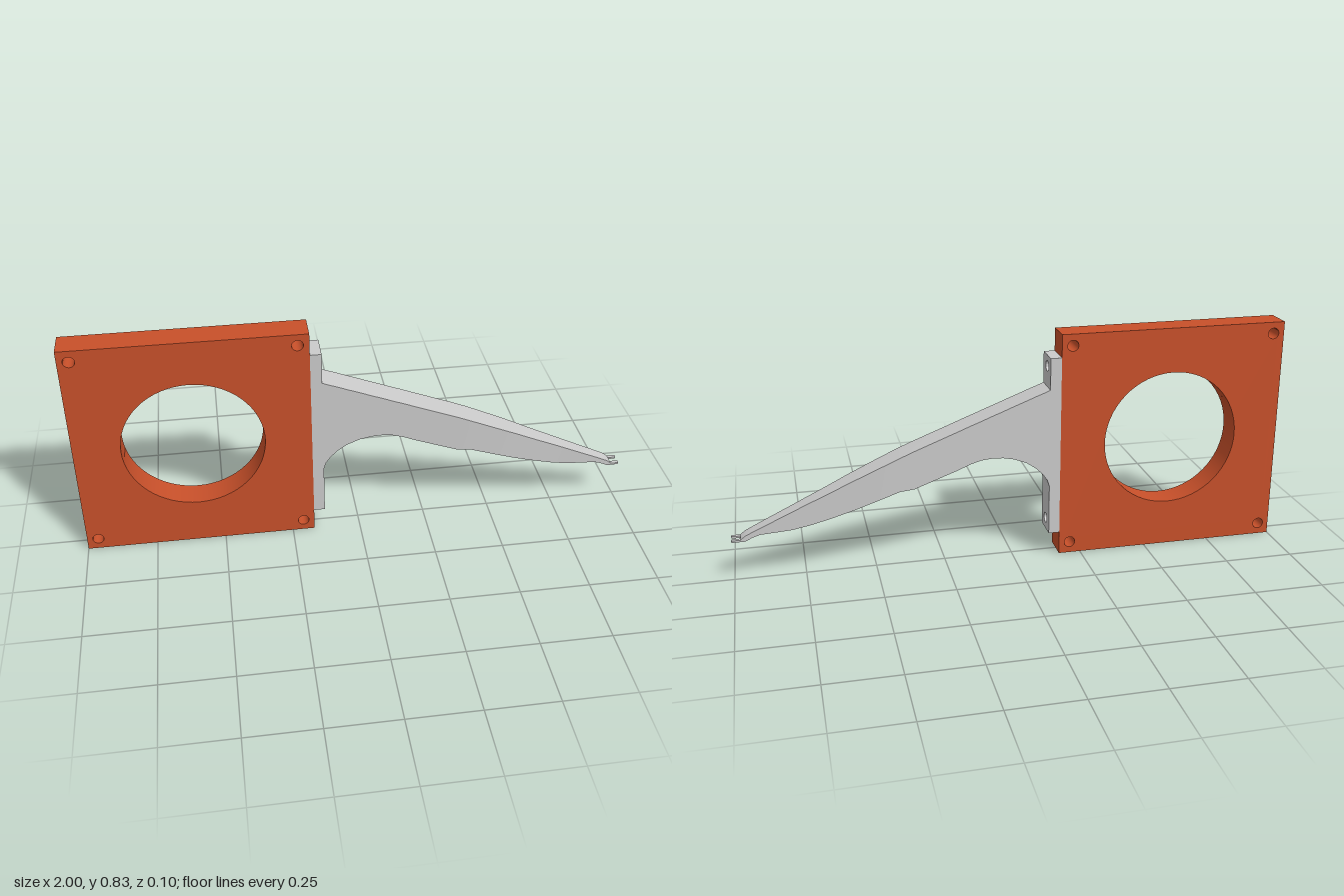
import * as THREE from 'three';
import { toCreasedNormals } from 'three/addons/utils/BufferGeometryUtils.js';

const grey = new THREE.MeshStandardMaterial({ color: 0xcccccc });
const orange = new THREE.MeshStandardMaterial({ color: 0xc8502a });
const orangeInside = new THREE.MeshStandardMaterial({ color: 0xc8502a, side: THREE.BackSide });

const HALF_DEPTH = 0.05;
const BOLT_Y = [0.127, 0.71];

function rectShape(x0, y0, x1, y1, holes = []) {
  const s = new THREE.Shape();
  s.moveTo(x0, y0).lineTo(x1, y0).lineTo(x1, y1).lineTo(x0, y1).closePath();
  for (const [x, y, r] of holes) s.holes.push(new THREE.Path().absarc(x, y, r, 0, Math.PI * 2, true));
  return s;
}

function add(parent, name, geometry, material) {
  const mesh = new THREE.Mesh(geometry, material);
  mesh.name = name;
  parent.add(mesh);
  return mesh;
}

// Square plate with a large bore, corner holes and two bolt holes running along x
function createPlate() {
  const plate = new THREE.Group();
  plate.name = 'plate';
  const x0 = -1, x1 = -0.17, h = 0.833, cx = (x0 + x1) / 2;
  const holes = [[cx, 0.42, 0.25]];
  for (const x of [-0.96, -0.21]) for (const y of [0.042, 0.791]) holes.push([x, y, 0.02]);

  // front and back faces, and the walls of the holes between them
  for (const turn of [0, Math.PI]) {
    const g = new THREE.ShapeGeometry(rectShape(x0 - cx, 0, x1 - cx, h, holes.map(([x, y, r]) => [x - cx, y, r])), 32);
    g.translate(0, 0, HALF_DEPTH).rotateY(turn).translate(cx, 0, 0);
    add(plate, turn ? 'plateBack' : 'plateFront', g, orange);
  }
  for (const [x, y, r] of holes) {
    const g = new THREE.CylinderGeometry(r, r, HALF_DEPTH * 2, 64, 1, true).rotateX(Math.PI / 2);
    add(plate, r > 0.1 ? 'boreWall' : 'cornerHoleWall', g.translate(x, y, 0), orangeInside);
  }

  // side faces with bolt holes
  const boltR = 0.012, w = x1 - x0;
  for (const side of [-1, 1]) {
    const g = new THREE.ShapeGeometry(
      rectShape(-HALF_DEPTH, 0, HALF_DEPTH, h, BOLT_Y.map(y => [0, y, boltR])), 16);
    g.translate(0, 0, w / 2).rotateY(side * Math.PI / 2).translate(cx, 0, 0);
    add(plate, 'plateSide', g, orange);
  }
  for (const y of BOLT_Y) {
    const g = new THREE.CylinderGeometry(boltR, boltR, w, 32, 1, true).rotateZ(Math.PI / 2);
    add(plate, 'boltHoleWall', g.translate(cx, y, 0), orangeInside);
  }

  // top and bottom faces
  for (const [y, turn] of [[h, -1], [0, 1]]) {
    const g = new THREE.PlaneGeometry(w, HALF_DEPTH * 2).rotateX(turn * Math.PI / 2);
    add(plate, y ? 'plateTop' : 'plateBottom', g.translate(cx, y, 0), orange);
  }
  return plate;
}

// Arm lofted through rectangular sections: x, top y, bottom y, half width
function createArmGeometry() {
  const sections = [
    [-0.13, 0.635, 0.272, 0.05], [-0.122, 0.632, 0.296, 0.05], [-0.105, 0.625, 0.32, 0.05],
    [-0.08, 0.616, 0.345, 0.05], [-0.045, 0.602, 0.369, 0.05], [0, 0.585, 0.387, 0.05],
    [0.04, 0.569, 0.395, 0.05], [0.08, 0.554, 0.397, 0.05], [0.12, 0.538, 0.393, 0.05],
    [0.16, 0.523, 0.381, 0.05], [0.2, 0.507, 0.364, 0.05], [0.36, 0.445, 0.305, 0.05],
    [0.41, 0.424, 0.3, 0.05], [0.5, 0.384, 0.268, 0.047], [0.58, 0.348, 0.24, 0.043],
    [0.66, 0.31, 0.215, 0.038], [0.73, 0.278, 0.196, 0.034], [0.79, 0.25, 0.184, 0.031],
    [0.85, 0.222, 0.179, 0.029], [0.9, 0.199, 0.175, 0.027], [0.925, 0.187, 0.167, 0.026],
    [0.952, 0.174, 0.154, 0.025], [0.968, 0.161, 0.153, 0.025]
  ];
  const rings = sections.map(([x, t, b, w]) => [[x, b, w], [x, t, w], [x, t, -w], [x, b, -w]]);
  const pos = [];
  const quad = (a, b, c, d) => pos.push(...a, ...b, ...c, ...a, ...c, ...d);
  for (let i = 0; i < rings.length - 1; i++) {
    for (let k = 0; k < 4; k++) {
      const n = (k + 1) % 4;
      quad(rings[i][k], rings[i + 1][k], rings[i + 1][n], rings[i][n]);
    }
  }
  const [a, b, c, d] = rings[rings.length - 1];
  quad(a, d, c, b);
  const g = new THREE.BufferGeometry();
  g.setAttribute('position', new THREE.Float32BufferAttribute(pos, 3));
  return toCreasedNormals(g, 0.45);
}

function createBracket() {
  const bracket = new THREE.Group();
  bracket.name = 'bracket';

  // mounting flange with two bolt holes
  const flange = new THREE.ExtrudeGeometry(
    rectShape(-HALF_DEPTH, 0.085, HALF_DEPTH, 0.75, BOLT_Y.map(y => [0, y, 0.019])),
    { depth: 0.04, bevelEnabled: false, curveSegments: 16 });
  flange.rotateY(Math.PI / 2).translate(-0.17, 0, 0);
  add(bracket, 'flange', toCreasedNormals(flange, 0.6), grey);

  add(bracket, 'arm', createArmGeometry(), grey);

  // pair of flat, round-ended prongs at the tip
  for (const side of [-1, 1]) {
    const r = 0.007, s = new THREE.Shape();
    s.moveTo(0.955, -r).lineTo(1 - r, -r).absarc(1 - r, 0, r, -Math.PI / 2, Math.PI / 2, false);
    s.lineTo(0.955, r).closePath();
    const g = new THREE.ExtrudeGeometry(s, { depth: 0.007, bevelEnabled: false, curveSegments: 10 });
    g.rotateX(-Math.PI / 2).translate(0, 0.1535, side * 0.018);
    add(bracket, side > 0 ? 'frontProng' : 'backProng', toCreasedNormals(g, 0.6), grey);
  }
  return bracket;
}

export function createModel() {
  const model = new THREE.Group();
  model.name = 'plateWithArm';
  model.add(createPlate(), createBracket());
  return model;
}
